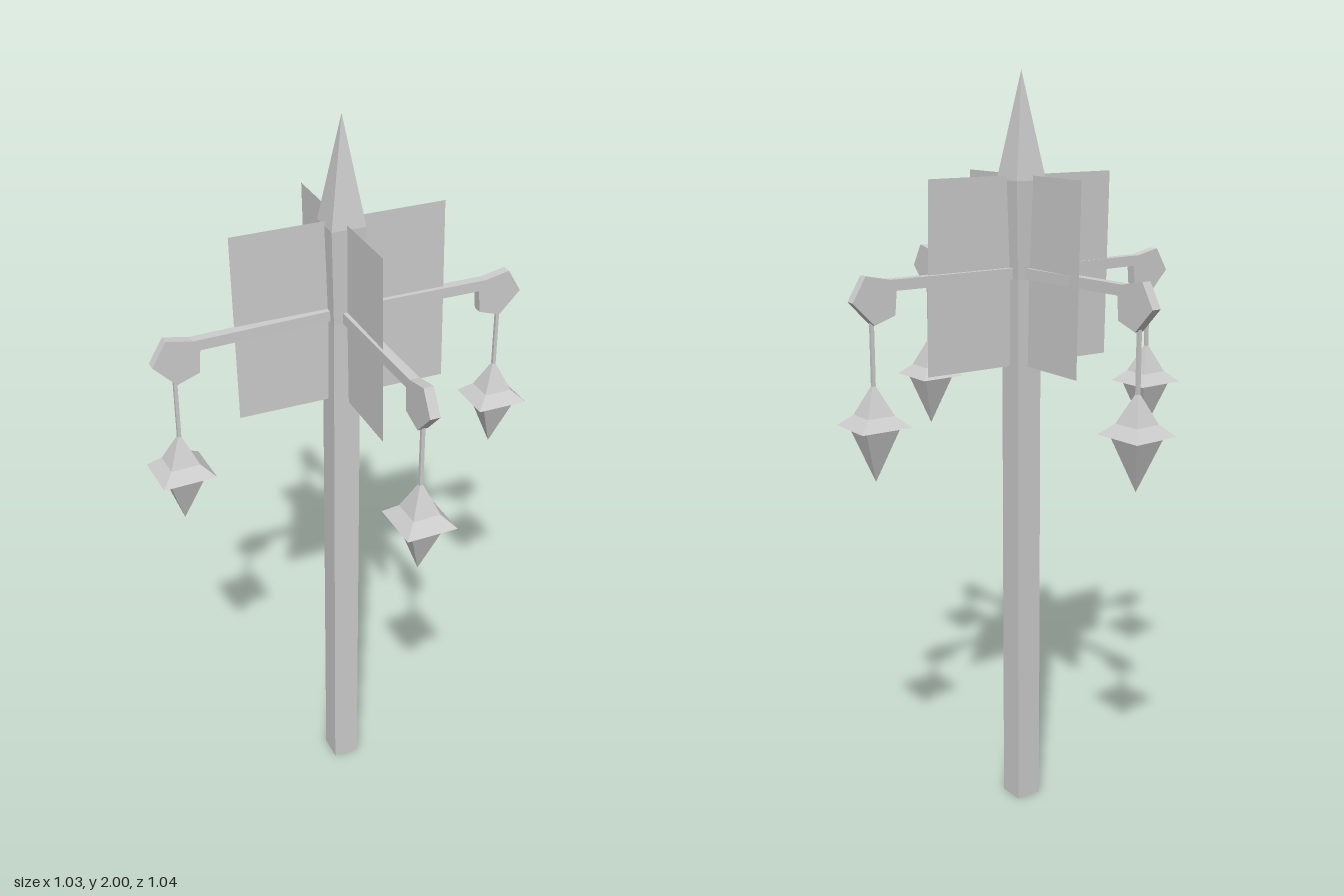
import * as THREE from 'three';

const grey = new THREE.MeshStandardMaterial({ color: 0xcccccc });
grey.name = 'pale grey';
const greySheet = new THREE.MeshStandardMaterial({ color: 0xcccccc, side: THREE.DoubleSide });
greySheet.name = 'pale grey sheet';

function part(name, geometry, material = grey) {
  const mesh = new THREE.Mesh(geometry, material);
  mesh.name = name;
  return mesh;
}

// Square, flat-faced solid from [half width, height] pairs, bottom to top
function squareTurned(profile) {
  const points = profile.map(([w, y]) => new THREE.Vector2(w * Math.SQRT2, y));
  const geometry = new THREE.LatheGeometry(points, 4, Math.PI / 4).toNonIndexed();
  geometry.computeVertexNormals();
  return geometry;
}

// Bracket with a faceted knuckle, cord and hanging lantern, pointing along +x
function createLampArm() {
  const arm = new THREE.Group();
  arm.name = 'lampArm';

  const outline = [
    [0, 1.48], [0.381, 1.48], [0.386, 1.42], [0.445, 1.4],
    [0.503, 1.46], [0.466, 1.522], [0.397, 1.508], [0, 1.508],
  ];
  const shape = new THREE.Shape(outline.map(([x, y]) => new THREE.Vector2(x, y)));
  const bracket = new THREE.ExtrudeGeometry(shape, { depth: 0.026, bevelEnabled: false });
  bracket.translate(0, 0, -0.013);
  arm.add(part('bracket', bracket));

  const cord = part('cord', new THREE.BoxGeometry(0.009, 0.18, 0.009));
  cord.position.set(0.446, 1.325, 0);
  arm.add(cord);

  const lantern = part('lantern', squareTurned([
    [0, 1.003], [0.044, 1.14], [0.066, 1.146], [0.036, 1.175], [0, 1.258],
  ]));
  lantern.scale.x = 1.06;
  lantern.position.x = 0.446;
  arm.add(lantern);
  return arm;
}

// Upright sheet along one axis, leaning very slightly towards +x at the foot
function createPanel(alongX, side) {
  const inner = alongX ? 0.03 : 0;
  const outer = alongX ? 0.283 : 0.245;
  const geometry = new THREE.PlaneGeometry(outer - inner, 0.492);
  geometry.translate(side * (inner + outer) / 2, 1.496, 0);
  if (!alongX) geometry.rotateY(-Math.PI / 2);
  const p = geometry.attributes.position;
  for (let i = 0; i < p.count; i++) p.setX(i, p.getX(i) + (1.496 - p.getY(i)) * 0.02);
  return part('panel', geometry, greySheet);
}

export function createModel() {
  const model = new THREE.Group();
  model.name = 'lampPost';

  // Post flaring into a pointed spire
  model.add(part('post', squareTurned([
    [0, 0], [0.036, 0], [0.036, 1.48], [0.045, 1.73], [0, 2],
  ])));

  // Four arms, each a little short of a quarter turn from the last
  for (let i = 0; i < 4; i++) {
    const arm = createLampArm();
    arm.rotation.y = -1.55 * i;
    model.add(arm);
  }

  // Cross of four panels
  for (const alongX of [true, false]) {
    for (const side of [-1, 1]) model.add(createPanel(alongX, side));
  }
  return model;
}
